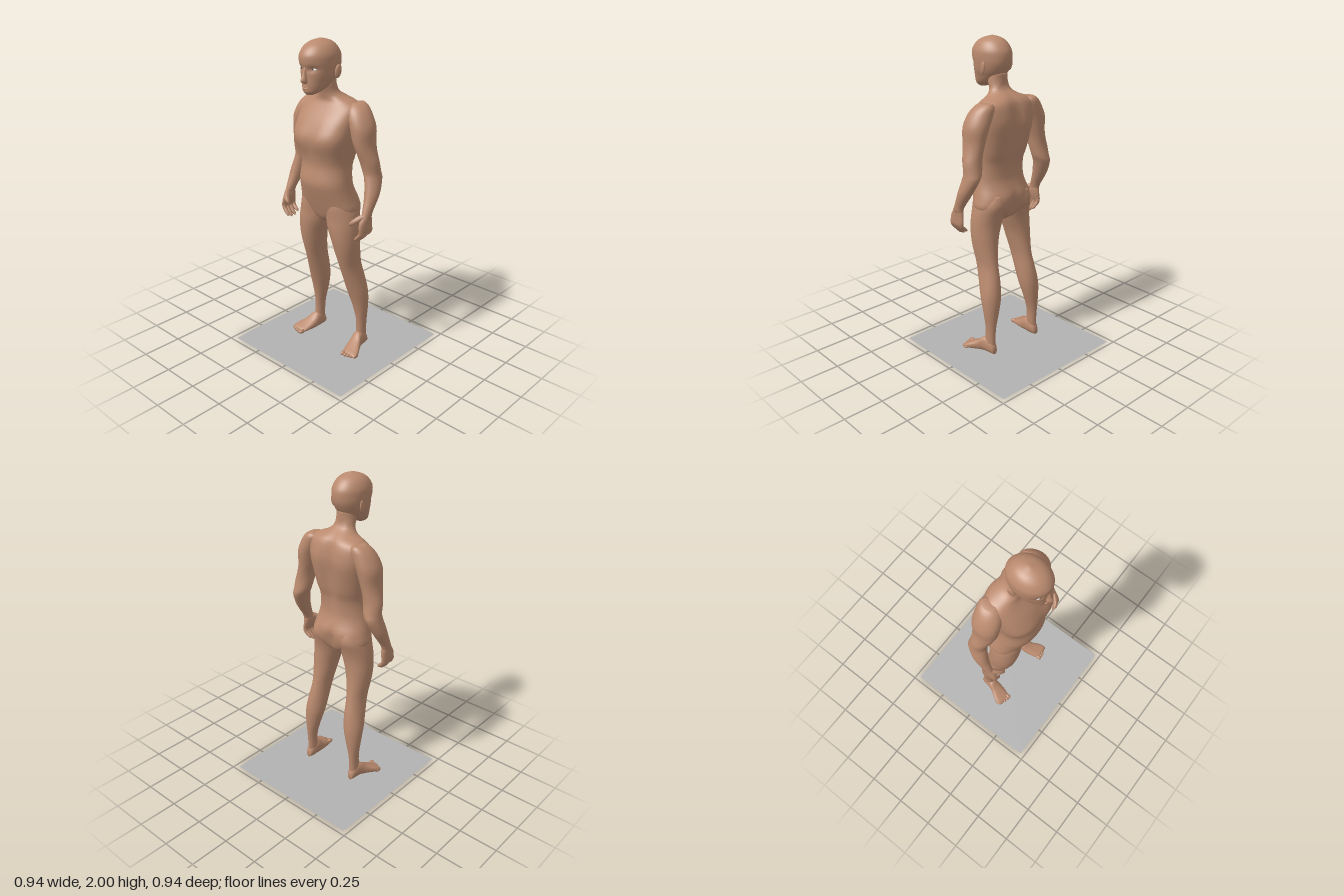
import * as THREE from 'three';

const skin = new THREE.MeshStandardMaterial({ color: 0xba8a6e });
skin.name = 'skin';
const eyeWhite = new THREE.MeshStandardMaterial({ color: 0xe6e4e0 });
eyeWhite.name = 'eye white';
const iris = new THREE.MeshStandardMaterial({ color: 0x4a3a30 });
iris.name = 'iris';
const grey = new THREE.MeshStandardMaterial({ color: 0xb2b2b2, side: THREE.DoubleSide });
grey.name = 'base grey';

// Smooth curve through neighbouring rows
function blend(a, b, c, d, t) {
  return b + 0.5 * t * (c - a + t * (2 * a - 5 * b + 4 * c - d + t * (3 * (b - c) + d - a)));
}

// Closed skin over rows [along, uMin, uMax, vMin, vMax, squareness]; along ascends.
// Axis 'y': u = x, v = z. Axis 'z': u = x, v = y.
function loft(rows, { axis = 'y', sides = 28, sub = 3, shape } = {}) {
  const rings = [];
  const at = (i) => rows[Math.max(0, Math.min(rows.length - 1, i))];
  for (let i = 0; i < rows.length - 1; i++) {
    for (let s = 0; s < sub; s++) {
      rings.push([0, 1, 2, 3, 4, 5].map((k) =>
        blend(...[-1, 0, 1, 2].map((o) => at(i + o)[k] ?? 2), s / sub)));
    }
  }
  rings.push(rows[rows.length - 1].concat(2).slice(0, 6));
  const pos = [], idx = [];
  const add = (w, u, v) => {
    const p = axis === 'y' ? new THREE.Vector3(u, w, v) : new THREE.Vector3(u, v, w);
    if (shape) shape(p);
    pos.push(p.x, p.y, p.z);
  };
  const pow = (c, n) => Math.sign(c) * Math.abs(c) ** (2 / n);
  for (const [w, u0, u1, v0, v1, n] of rings) {
    for (let j = 0; j < sides; j++) {
      const a = (j / sides) * Math.PI * 2;
      add(w, (u0 + u1) / 2 + (u1 - u0) / 2 * pow(Math.cos(a), n),
        (v0 + v1) / 2 + (v1 - v0) / 2 * pow(Math.sin(a), n));
    }
  }
  for (const [w, u0, u1, v0, v1] of [rings[0], rings[rings.length - 1]]) add(w, (u0 + u1) / 2, (v0 + v1) / 2);
  const tri = (a, b, c) => (axis === 'y' ? idx.push(a, b, c) : idx.push(a, c, b));
  const last = rings.length - 1, base = rings.length * sides;
  for (let j = 0; j < sides; j++) {
    const k = (j + 1) % sides;
    for (let i = 0; i < last; i++) {
      const a = i * sides, b = a + sides;
      tri(a + j, b + j, a + k);
      tri(a + k, b + j, b + k);
    }
    tri(base, j, k);
    tri(base + 1, last * sides + k, last * sides + j);
  }
  const g = new THREE.BufferGeometry();
  g.setAttribute('position', new THREE.Float32BufferAttribute(pos, 3));
  g.setIndex(idx);
  g.computeVertexNormals();
  return g;
}

const both = (rows) => rows.map(([w, h, ...rest]) => [w, -h, h, ...rest]);

function ball(x, y, z, rx, ry, rz) {
  return new THREE.SphereGeometry(1, 16, 12).scale(rx, ry, rz).translate(x, y, z);
}

// Finger: tapered rounded tube through points
function finger(points, r) {
  const curve = new THREE.CatmullRomCurve3(points.map((p) => new THREE.Vector3(...p)));
  const g = new THREE.TubeGeometry(curve, 8, r, 8);
  const p = g.attributes.position, c = new THREE.Vector3(), v = new THREE.Vector3();
  for (let i = 0; i < p.count; i++) {
    const t = Math.floor(i / 9) / 8;
    curve.getPointAt(t, c);
    v.fromBufferAttribute(p, i).sub(c).multiplyScalar(t === 1 ? 0.05 : 1 - 0.4 * t * t).add(c);
    p.setXYZ(i, v.x, v.y, v.z);
  }
  g.computeVertexNormals();
  return g;
}

// Mirrored copy with corner order restored
function mirrored(geo) {
  const g = geo.clone();
  for (const name of ['position', 'normal']) {
    const a = g.attributes[name];
    for (let i = 0; i < a.count; i++) a.setX(i, -a.getX(i));
  }
  const ix = g.index.array;
  for (let i = 0; i < ix.length; i += 3) [ix[i + 1], ix[i + 2]] = [ix[i + 2], ix[i + 1]];
  return g;
}

const bump = (d, w) => Math.exp(-((d / w) ** 2));

export function createModel() {
  const model = new THREE.Group();
  model.name = 'figure';
  const part = (name, geo, mat = skin) => {
    const m = new THREE.Mesh(geo, mat);
    m.name = name;
    model.add(m);
  };
  const pair = (name, geo, mat) => {
    part('left ' + name, geo, mat);
    part('right ' + name, mirrored(geo), mat);
  };

  // Base sheet
  part('base', new THREE.PlaneGeometry(0.94, 0.94).rotateX(-Math.PI / 2), grey);

  // Torso and neck, with spine groove, chest line and seat cleft
  part('torso', loft(both([
    [0.875, 0.03, 0.01, 0.1], [0.91, 0.12, -0.035, 0.14], [0.97, 0.203, -0.065, 0.165, 2.3],
    [1.04, 0.195, -0.072, 0.19, 2.3], [1.1, 0.183, -0.05, 0.21, 2.2], [1.16, 0.175, -0.035, 0.222, 2.2],
    [1.25, 0.166, -0.04, 0.206, 2.3], [1.32, 0.174, -0.06, 0.215, 2.6], [1.42, 0.192, -0.08, 0.245, 2.8],
    [1.5, 0.2, -0.092, 0.21, 2.8], [1.56, 0.205, -0.087, 0.17, 2.6], [1.61, 0.2, -0.074, 0.13, 2.4],
    [1.64, 0.16, -0.058, 0.115, 2.2], [1.665, 0.1, -0.03, 0.118, 2], [1.695, 0.069, 0.012, 0.126, 2],
    [1.74, 0.063, 0.03, 0.142, 2], [1.79, 0.06, 0.03, 0.15, 2],
  ]), {
    sides: 40,
    shape: (p) => {
      if (p.z < 0.03) {
        p.z += 0.032 * bump(p.x, 0.035) * bump(p.y - 1.45, 0.2);
        p.z += 0.03 * bump(p.x, 0.025) * bump(p.y - 0.98, 0.07);
      } else if (p.z > 0.1) p.z -= 0.012 * bump(p.x, 0.03) * bump(p.y - 1.42, 0.08);
    },
  }));

  // Head, with eye sockets and cheeks
  part('head', loft(both([
    [1.693, 0.025, 0.19, 0.243], [1.71, 0.05, 0.14, 0.257], [1.735, 0.068, 0.085, 0.26],
    [1.77, 0.083, 0.045, 0.26], [1.8, 0.095, 0.022, 0.259], [1.84, 0.103, 0.003, 0.262],
    [1.88, 0.106, -0.002, 0.271], [1.92, 0.103, 0.004, 0.268], [1.96, 0.083, 0.032, 0.238],
    [1.985, 0.053, 0.068, 0.195], [2, 0.008, 0.12, 0.14],
  ]), {
    sides: 48, sub: 5,
    shape: (p) => {
      if (p.z > 0.15) p.z -= 0.012 * bump(Math.abs(p.x) - 0.045, 0.024) * bump(p.y - 1.84, 0.016);
    },
  }));
  part('nose', loft(both([
    [1.757, 0.01, 0.235, 0.262], [1.767, 0.019, 0.235, 0.282], [1.78, 0.018, 0.235, 0.291],
    [1.81, 0.012, 0.235, 0.277], [1.85, 0.009, 0.235, 0.265],
  ]), { sides: 14 }));
  part('upper lip', ball(0, 1.739, 0.257, 0.025, 0.005, 0.01));
  part('lower lip', ball(0, 1.73, 0.255, 0.021, 0.005, 0.01));
  pair('eye', ball(0.046, 1.84, 0.231, 0.019, 0.0085, 0.012), eyeWhite);
  pair('iris', ball(0.045, 1.841, 0.2405, 0.006, 0.006, 0.003), iris);
  pair('ear', ball(0, 0, 0, 0.009, 0.04, 0.022).rotateX(-0.2).rotateY(-0.25).translate(0.107, 1.822, 0.1));

  // Arms
  pair('arm', loft([
    [0.985, 0.302, 0.348, 0.052, 0.128], [1.02, 0.295, 0.35, 0.04, 0.115], [1.08, 0.28, 0.355, 0, 0.092],
    [1.13, 0.267, 0.355, -0.03, 0.077], [1.2, 0.247, 0.342, -0.063, 0.06], [1.24, 0.228, 0.336, -0.06, 0.056],
    [1.3, 0.215, 0.332, -0.05, 0.07], [1.36, 0.204, 0.315, -0.05, 0.09], [1.42, 0.186, 0.304, -0.055, 0.105],
    [1.5, 0.16, 0.302, -0.065, 0.11], [1.57, 0.125, 0.272, -0.064, 0.1], [1.615, 0.12, 0.237, -0.06, 0.075],
    [1.636, 0.145, 0.205, -0.045, 0.045],
  ]));

  // Hands
  pair('palm', loft([
    [0.895, 0.318, 0.341, 0.055, 0.15], [0.91, 0.312, 0.345, 0.045, 0.157], [0.95, 0.302, 0.346, 0.045, 0.152],
    [0.985, 0.3, 0.348, 0.05, 0.132], [1.01, 0.305, 0.346, 0.055, 0.115],
  ], { sides: 20 }));
  [[0.06, 0.85], [0.087, 0.832], [0.114, 0.828], [0.141, 0.84]].forEach(([z, tip], i) => {
    pair('finger ' + (i + 1), finger([[0.33, 0.92, z], [0.325, 0.89, z], [0.305, (0.89 + tip) / 2, z + 0.003], [0.278, tip, z + 0.004]], 0.014));
  });
  pair('thumb', finger([[0.32, 0.995, 0.115], [0.3, 0.978, 0.142], [0.28, 0.96, 0.16], [0.256, 0.94, 0.168]], 0.018));

  // Legs
  pair('leg', loft([
    [0.04, 0.158, 0.215, -0.074, 0.005], [0.12, 0.158, 0.213, -0.075, 0], [0.2, 0.152, 0.216, -0.08, 0],
    [0.3, 0.125, 0.227, -0.088, 0.016], [0.4, 0.101, 0.23, -0.09, 0.046], [0.5, 0.095, 0.216, -0.076, 0.08],
    [0.6, 0.09, 0.204, -0.052, 0.112], [0.7, 0.07, 0.214, -0.036, 0.14], [0.78, 0.05, 0.22, -0.03, 0.156],
    [0.86, 0.022, 0.219, -0.031, 0.165], [0.93, 0.006, 0.213, -0.045, 0.165], [1, 0.008, 0.198, -0.066, 0.168],
    [1.06, 0.03, 0.17, -0.05, 0.16],
  ]));

  // Feet and toes
  pair('foot', loft([
    [-0.081, 0.17, 0.205, 0.008, 0.055], [-0.055, 0.157, 0.216, 0.005, 0.1], [0, 0.153, 0.226, 0.005, 0.112, 2.2],
    [0.04, 0.155, 0.246, 0.005, 0.08, 2.4], [0.09, 0.164, 0.275, 0.005, 0.052, 2.5], [0.125, 0.176, 0.283, 0.005, 0.036, 2.5],
    [0.138, 0.19, 0.275, 0.008, 0.028, 2.2],
  ], { axis: 'z' }));
  for (let i = 0; i < 5; i++) {
    const r = i === 0 ? 0.015 : 0.0115;
    pair('toe ' + (i + 1), ball(0.19 + i * 0.0205, 0.005 + r, 0.141 - i * i * 0.0018, r, r, 0.022));
  }
  return model;
}
